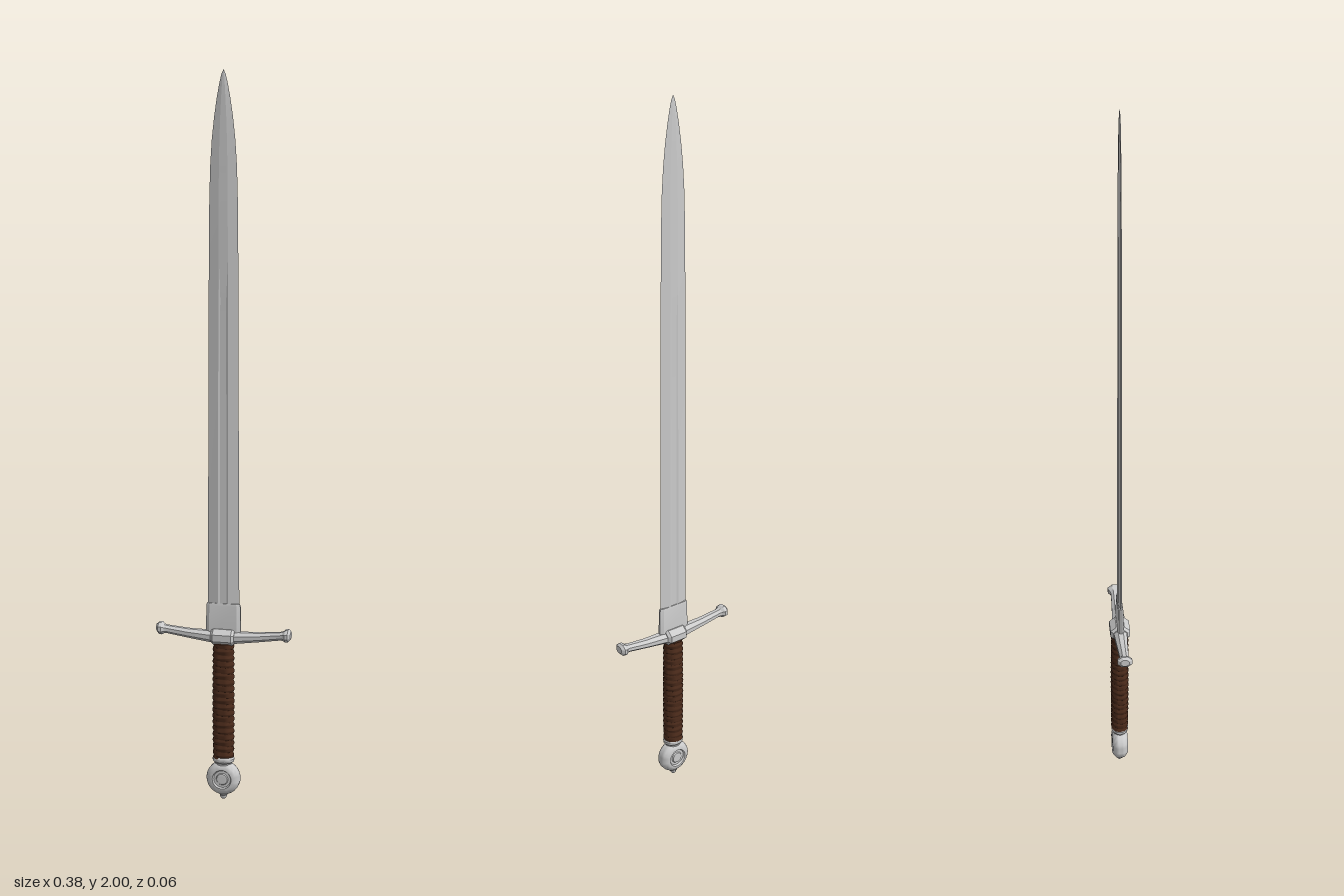
import * as THREE from 'three';
import { toCreasedNormals } from 'three/addons/utils/BufferGeometryUtils.js';

const steel = new THREE.MeshStandardMaterial({ color: 0xcccccc });
const leather = new THREE.MeshStandardMaterial({ color: 0x4a2a1a });

// Skin a list of equal-length rings (counter-clockwise seen from the far end), capped at both ends
function loft(rings, crease) {
  const n = rings[0].length, last = (rings.length - 1) * n, index = [];
  for (let i = 0; i < rings.length - 1; i++) {
    for (let j = 0; j < n; j++) {
      const a = i * n + j, b = i * n + (j + 1) % n;
      index.push(a, b, b + n, a, b + n, a + n);
    }
  }
  for (let j = 1; j < n - 1; j++) {
    index.push(0, j + 1, j, last, last + j, last + j + 1);
  }
  const g = new THREE.BufferGeometry();
  g.setAttribute('position', new THREE.Float32BufferAttribute(rings.flat(2), 3));
  g.setIndex(index);
  return toCreasedNormals(g, crease);
}

function lathe(profile, segments, crease = 0.6) {
  const g = new THREE.LatheGeometry(profile.map(([r, y]) => new THREE.Vector2(r, y)), segments);
  return toCreasedNormals(g, crease);
}

function add(group, name, geometry, material = steel) {
  const mesh = new THREE.Mesh(geometry, material);
  mesh.name = name;
  group.add(mesh);
  return mesh;
}

// Blade section: sharp edges, flat bevels and a shallow central fuller
function bladeRing(y, w, t, depth) {
  const f = w * 0.32, m = w * 0.2;
  return [
    [w, y, 0], [f, y, -t], [m, y, -t + depth], [-m, y, -t + depth], [-f, y, -t],
    [-w, y, 0], [-f, y, t], [-m, y, t - depth], [m, y, t - depth], [f, y, t],
  ];
}

function buildBlade() {
  // height, half width, half thickness, fuller depth
  const stations = [
    [0.47, 0.045, 0.006, 0.0022], [1.0, 0.0425, 0.0055, 0.002], [1.4, 0.041, 0.005, 0.0016],
    [1.5, 0.0405, 0.005, 0], [1.66, 0.039, 0.0045, 0], [1.75, 0.0365, 0.0042, 0],
    [1.82, 0.032, 0.004, 0], [1.88, 0.0255, 0.0035, 0], [1.93, 0.018, 0.003, 0],
    [1.965, 0.0115, 0.0025, 0], [1.988, 0.006, 0.0015, 0], [2.0, 0.0005, 0.0003, 0],
  ];
  return loft(stations.map((s) => bladeRing(...s)), 0.1);
}

// Sleeve with bevelled sides around the base of the blade
function buildSleeve() {
  const ring = (y, w, t) => [
    [w, y, -t * 0.4], [w * 0.8, y, -t], [-w * 0.8, y, -t], [-w, y, -t * 0.4],
    [-w, y, t * 0.4], [-w * 0.8, y, t], [w * 0.8, y, t], [w, y, t * 0.4],
  ];
  return loft([ring(0.465, 0.049, 0.009), ring(0.555, 0.048, 0.0075), ring(0.562, 0.046, 0.006)], 0.3);
}

// Octagonal ring across the x axis
function guardRing(x, cy, ry, rz) {
  return Array.from({ length: 8 }, (_, i) => {
    const a = (i + 0.5) * Math.PI / 4, k = 1 / Math.cos(Math.PI / 8);
    return [x, cy + Math.cos(a) * ry * k, Math.sin(a) * rz * k];
  });
}

function buildGuard() {
  // distance out, centre height, half height, half depth
  const half = [
    [0.0, 0.467, 0.017, 0.019], [0.035, 0.467, 0.016, 0.0185], [0.1, 0.472, 0.0125, 0.015],
    [0.16, 0.479, 0.011, 0.0125], [0.168, 0.48, 0.012, 0.0145], [0.175, 0.481, 0.0165, 0.0205],
    [0.183, 0.482, 0.0165, 0.0205], [0.19, 0.483, 0.01, 0.012],
  ];
  const left = half.slice(1).reverse().map(([x, ...r]) => [-x, ...r]);
  return loft([...left, ...half].map((s) => guardRing(...s)), 0.3);
}

function buildGuardBlock() {
  const stations = [
    [-0.033, 0.018, 0.02], [-0.026, 0.0225, 0.028], [0.026, 0.0225, 0.028], [0.033, 0.018, 0.02],
  ];
  return loft(stations.map(([x, ry, rz]) => guardRing(x, 0.468, ry, rz)), 0.3);
}

// Oval grip with a cord wound around it
function buildGrip() {
  const rings = [], steps = 168, sides = 24, turns = 19;
  for (let i = 0; i <= steps; i++) {
    const t = i / steps, swell = 1 + 0.05 * Math.sin(t * Math.PI);
    rings.push(Array.from({ length: sides }, (_, j) => {
      const a = j / sides * Math.PI * 2;
      const ridge = Math.abs(Math.sin(t * turns * Math.PI + a / 2)) * 0.0035;
      return [
        Math.cos(a) * (0.0265 * swell + ridge), 0.12 + t * 0.33,
        -Math.sin(a) * (0.0215 * swell + ridge),
      ];
    }));
  }
  return loft(rings, 0.9);
}

function buildPommel() {
  const pommel = new THREE.Group();
  pommel.name = 'pommel';

  // Wheel with a raised rim, a sunken ring and a central boss on both faces
  const face = [
    [0.0475, 0.006], [0.0455, 0.012], [0.039, 0.018], [0.032, 0.0225], [0.027, 0.0225],
    [0.024, 0.017], [0.017, 0.017], [0.015, 0.0205], [0.009, 0.022], [0, 0.0225],
  ];
  const back = face.map(([r, z]) => [r, -z]).reverse();
  const wheel = add(pommel, 'pommelWheel', lathe([...back, ...face], 32));
  wheel.rotation.x = Math.PI / 2;
  wheel.position.y = 0.062;

  // Collar between wheel and grip
  const collar = add(pommel, 'pommelCollar', lathe([
    [0, 0.096], [0.022, 0.096], [0.024, 0.106], [0.03, 0.111], [0.031, 0.119], [0.028, 0.124], [0, 0.124],
  ], 24));
  collar.scale.z = 0.8;

  // Rivet that closes the tang
  add(pommel, 'pommelRivet', lathe([
    [0, 0], [0.005, 0.001], [0.009, 0.006], [0.01, 0.012], [0.013, 0.015], [0.013, 0.024], [0, 0.026],
  ], 16));
  return pommel;
}

export function createModel() {
  const model = new THREE.Group();
  model.name = 'sword';

  add(model, 'blade', buildBlade());
  add(model, 'bladeSleeve', buildSleeve());
  add(model, 'crossGuard', buildGuard());
  add(model, 'guardBlock', buildGuardBlock());
  add(model, 'grip', buildGrip(), leather);
  model.add(buildPommel());
  return model;
}
